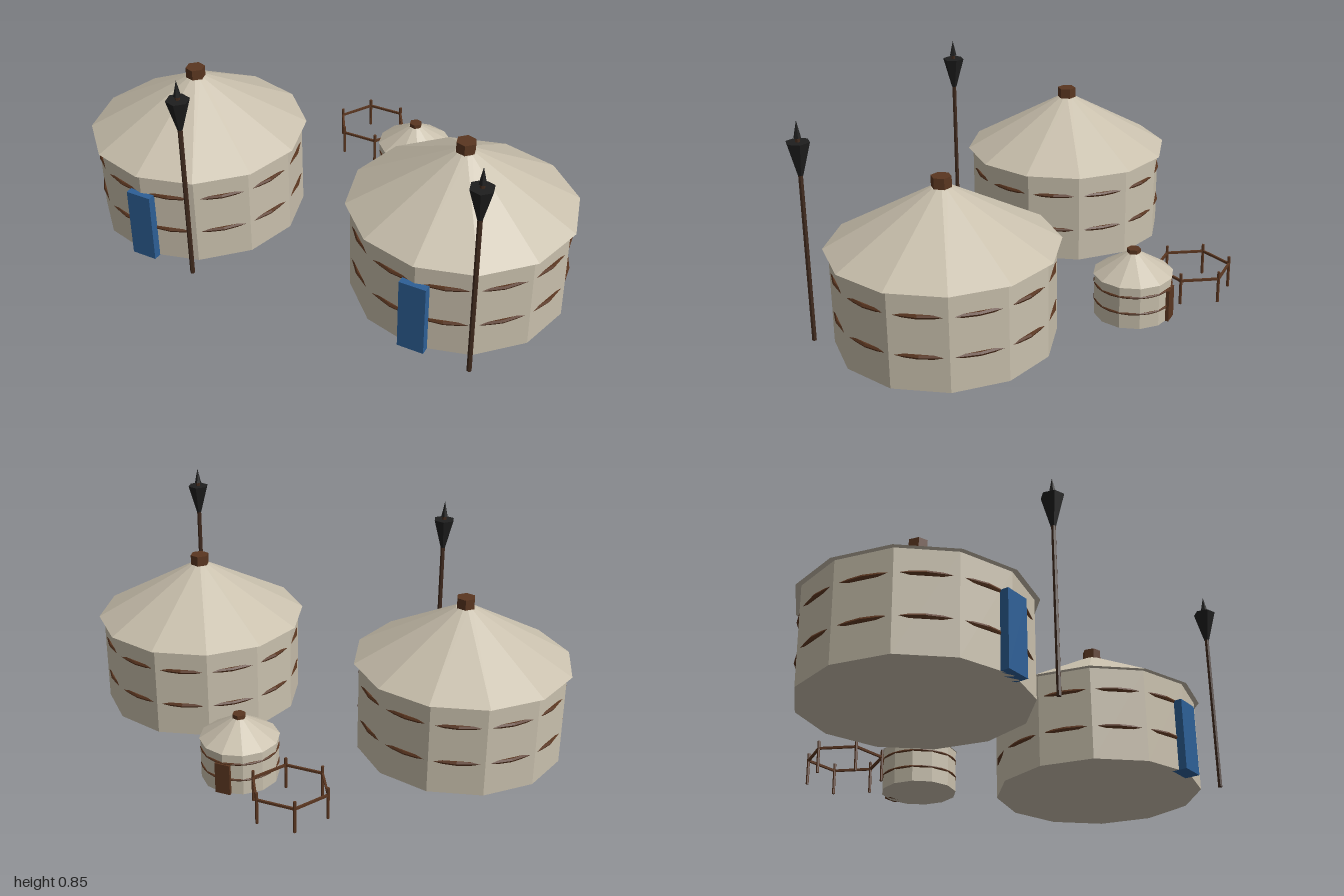
import * as THREE from 'three';

function mat(name, color) {
  const m = new THREE.MeshStandardMaterial({ color, flatShading: true });
  m.name = name;
  return m;
}

export function createModel() {
  const felt = mat('felt', 0xc8bfac);
  const wood = mat('wood', 0x5a3620);
  const pole = mat('dark wood', 0x402a1e);
  const iron = mat('black iron', 0x1e1e1e);
  const blue = mat('blue door', 0x2d5f96);

  const model = new THREE.Group();
  model.name = 'yurtCamp';

  function add(parent, name, geo, material, x = 0, y = 0, z = 0) {
    const m = new THREE.Mesh(geo, material);
    m.name = name;
    m.position.set(x, y, z);
    parent.add(m);
    return m;
  }

  function group(name, x, z) {
    const g = new THREE.Group();
    g.name = name;
    g.position.set(x, 0, z);
    model.add(g);
    return g;
  }

  // Closed prism or cone standing on height y0
  function drum(parent, name, material, rTop, rBottom, y0, y1, sides, turn = 0) {
    const geo = new THREE.CylinderGeometry(rTop, rBottom, y1 - y0, sides, 1, false, turn);
    return add(parent, name, geo, material, 0, (y0 + y1) / 2, 0);
  }

  // Twelve-sided tent: wall, roof, smoke crown and two rope bands
  function yurt(name, x, z, s) {
    const g = group(name, x, z);
    drum(g, 'wall', felt, s.wall, s.wall, 0, s.eave, 12);
    drum(g, 'roof', felt, s.crown, s.roof, s.eave, s.peak, 12);
    drum(g, 'crown', wood, s.crown, s.crown, s.peak - 0.01, s.top, 6, 0.25);
    for (const y of s.bands) {
      const ring = new THREE.TorusGeometry(s.ring, s.rope, 6, 24).rotateX(Math.PI / 2);
      add(g, 'ropeBand', ring, wood, 0, y, 0);
    }
    return g;
  }

  const large = { wall: 0.408, roof: 0.428, eave: 0.37, peak: 0.588, crown: 0.038, top: 0.629,
    bands: [0.132, 0.283], ring: 0.3965, rope: 0.009 };
  const small = { wall: 0.149, roof: 0.153, eave: 0.167, peak: 0.247, crown: 0.026, top: 0.263,
    bands: [0.061, 0.128], ring: 0.1455, rope: 0.005 };

  for (const side of [-1, 1]) {
    const label = side > 0 ? 'left' : 'right';
    const g = yurt(label + 'Yurt', side * 0.57, 0.188, large);
    add(g, 'door', new THREE.BoxGeometry(0.102, 0.285, 0.06), blue, 0, 0.1425, 0.397);

    // Torch beside the door
    const t = group(label + 'Torch', side * 0.57 + 0.225, 0.615);
    drum(t, 'pole', pole, 0.009, 0.009, 0, 0.79, 6);
    drum(t, 'torchHead', iron, 0.044, 0.01, 0.645, 0.768, 6, 0.25);
    drum(t, 'torchSpike', iron, 0, 0.014, 0.782, 0.845, 6, 0.25);
  }

  // Small tent with its door at the back
  const hut = yurt('smallYurt', 0.124, -0.376, small);
  add(hut, 'smallDoor', new THREE.BoxGeometry(0.06, 0.125, 0.03), wood, 0, 0.0625, -0.139);

  // Six-sided pen
  const pen = group('fence', -0.15, -0.527);
  const R = 0.148;
  for (let i = 0; i < 6; i++) {
    const a = (i * Math.PI) / 3;
    const post = drum(pen, 'fencePost', wood, 0.006, 0.006, 0, 0.128, 6);
    post.position.x = R * Math.cos(a);
    post.position.z = R * Math.sin(a);
    const b = a + Math.PI / 6;
    const d = R * Math.cos(Math.PI / 6);
    const rail = add(pen, 'fenceRail', new THREE.BoxGeometry(R, 0.009, 0.008), wood,
      d * Math.cos(b), 0.098, d * Math.sin(b));
    rail.rotation.y = Math.PI / 2 - b;
  }

  return model;
}
